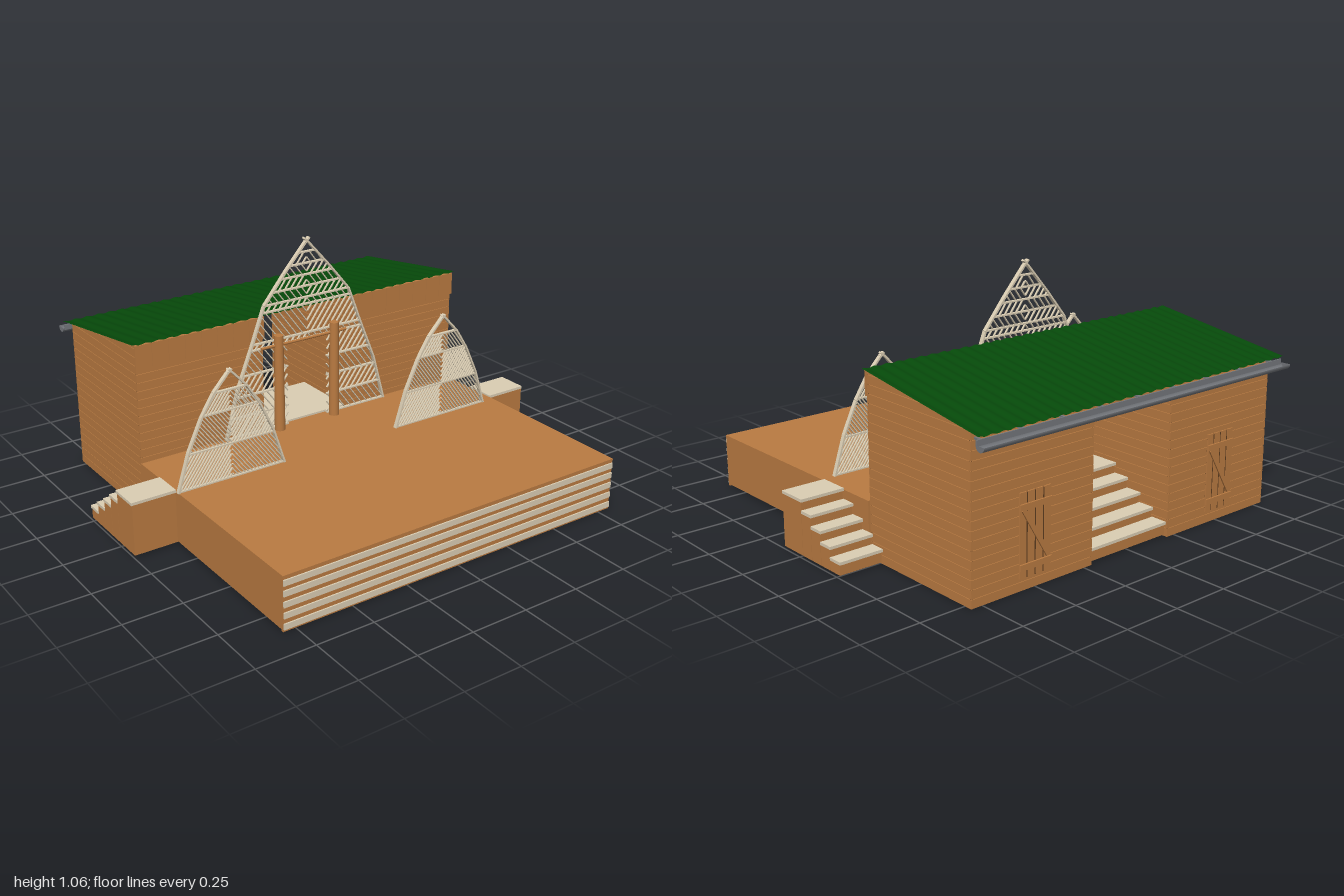
import * as THREE from 'three';
import { mergeGeometries } from 'three/addons/utils/BufferGeometryUtils.js';

const mat = (name, color, side = THREE.FrontSide) => {
  const m = new THREE.MeshStandardMaterial({ color, side });
  m.name = name;
  return m;
};

export function createModel() {
  const wood = mat('brown wood', 0xb97a41);
  const dark = mat('dark wood gaps', 0x5e3d20, THREE.DoubleSide);
  const pale = mat('pale weathered wood', 0xdacdb3);
  const green = mat('green roofing', 0x06490a, THREE.DoubleSide);
  const grey = mat('grey metal', 0x74777c, THREE.DoubleSide);
  const root = new THREE.Group();

  // Helpers
  const add = (name, geos, material, parent = root) => {
    const mesh = new THREE.Mesh(Array.isArray(geos) ? mergeGeometries(geos) : geos, material);
    mesh.name = name;
    parent.add(mesh);
    return mesh;
  };
  const group = (name, x = 0, y = 0, z = 0, ry = 0) => {
    const g = new THREE.Group();
    g.name = name;
    g.position.set(x, y, z);
    g.rotation.y = ry;
    root.add(g);
    return g;
  };
  // Box given by its limits on each axis
  const span = (x0, x1, y0, y1, z0, z1) =>
    new THREE.BoxGeometry(Math.abs(x1 - x0), Math.abs(y1 - y0), Math.abs(z1 - z0))
      .translate((x0 + x1) / 2, (y0 + y1) / 2, (z0 + z1) / 2);
  // Straight bar between two points of the xy plane
  const bar = (a, b, w, d) => {
    const dx = b[0] - a[0], dy = b[1] - a[1];
    return new THREE.BoxGeometry(Math.hypot(dx, dy), w, d)
      .rotateZ(Math.atan2(dy, dx))
      .translate((a[0] + b[0]) / 2, (a[1] + b[1]) / 2, 0);
  };

  // Stage: close-set deck planks with battens below, skirts and pale front slats
  const planks = [], battens = [], count = 52, pw = 1.61 / count;
  for (let i = 0; i < count; i++) {
    const x = -0.805 + i * pw;
    planks.push(span(x, x + pw, 0.225, 0.238, -0.185, 0.875));
    if (i) battens.push(span(x - 0.006, x + 0.006, 0.219, 0.2255, -0.185, 0.862));
  }
  add('stageDeckPlanks', planks, wood);
  add('stageDeckBattens', battens, wood);
  add('stageSkirts', [
    span(-0.805, -0.793, 0.015, 0.225, -0.185, 0.868),
    span(0.793, 0.805, 0.015, 0.225, -0.185, 0.868),
    span(-0.805, 0.805, 0.008, 0.225, 0.862, 0.872),
  ], wood);
  add('stageFrontSlats', [0.03, 0.075, 0.12, 0.165, 0.208].map((y) =>
    span(-0.803, 0.803, y - 0.012, y + 0.012, 0.87, 0.878)), pale);

  // Plank wall along local +x, its top falling from hA to hB
  const plankWall = (name, x, z, ry, L, hA, hB) => {
    const g = group(name, x, 0, z, ry), boards = [], step = 0.0365;
    const uAt = (y) => (y <= hB ? L : (L * (hA - y)) / (hA - hB));
    for (let y = 0.005; y < hA - 0.004; y += step) {
      const y1 = Math.min(y + step - 0.002, hA - 0.0005);
      const pts = [[0, y], [uAt(y), y]];
      if (hA > hB && y < hB && hB < y1) pts.push([L, hB]);
      pts.push([uAt(y1), y1], [0, y1]);
      const s = new THREE.Shape(pts.map((p) => new THREE.Vector2(...p)));
      boards.push(new THREE.ExtrudeGeometry(s, { depth: 0.012, bevelEnabled: false }).translate(0, 0, -0.006));
    }
    add(name + 'Boards', boards, wood, g);
    const back = [[0, 0.005], [L, 0.005], [L, hB], [0, hA]].map((p) => new THREE.Vector2(...p));
    add(name + 'Gaps', new THREE.ShapeGeometry(new THREE.Shape(back)), dark, g);
  };

  // Two huts with a passage between them
  const front = -0.19, rear = -0.785, hi = 0.747, lo = 0.656;
  for (const [side, x0, x1] of [['right', -0.8, -0.21], ['left', 0.21, 0.8]]) {
    plankWall(side + 'HutFront', x0, front - 0.006, 0, x1 - x0, hi, hi);
    plankWall(side + 'HutBack', x0, rear + 0.006, 0, x1 - x0, lo, lo);
    for (const [n, x] of [['A', x0 + 0.006], ['B', x1 - 0.006]])
      plankWall(side + 'HutSide' + n, x, front, Math.PI / 2, front - rear, hi, lo);

    // Upright boards under the front eave
    const eave = [];
    for (let i = 0; i < 8; i++) {
      const w = (x1 - x0 + 0.01) / 8, x = x0 - 0.005 + i * w;
      eave.push(span(x + 0.001, x + w - 0.001, 0.645 + (i % 3) * 0.006, 0.75, -0.19, -0.182));
    }
    add(side + 'EaveBoards', eave, wood);

    // Braced plank door on the back wall
    const door = group(side + 'BackDoor', (x0 + x1) / 2, 0, rear - 0.004);
    const parts = [bar([-0.06, 0.12], [0.06, 0.32], 0.02, 0.007).translate(0, 0, -0.007)];
    for (let i = 0; i < 4; i++)
      parts.push(span(-0.075 + i * 0.0395, -0.0435 + i * 0.0395, 0.05 + (i % 2) * 0.006, 0.385, -0.004, 0.002));
    for (const y of [0.1, 0.33]) parts.push(span(-0.077, 0.077, y - 0.012, y + 0.012, -0.011, -0.004));
    add(side + 'DoorPlanks', parts, wood, door);
    add(side + 'DoorGaps', span(-0.074, 0.074, 0.055, 0.38, -0.001, 0.003), dark, door);
  }

  // Corrugated lean-to roof
  const roof = new THREE.PlaneGeometry(1.63, 0.665, 240, 1).rotateX(-Math.PI / 2);
  const rp = roof.attributes.position;
  for (let i = 0; i < rp.count; i++) {
    const x = rp.getX(i), z = rp.getZ(i) - 0.5125;
    rp.setXYZ(i, x, 0.755 + 0.1515 * (z + 0.18) + 0.0025 * Math.cos((x * 2 * Math.PI) / 0.054), z);
  }
  roof.computeVertexNormals();
  add('corrugatedRoof', roof, green);

  // Half-round gutter open to the sky, with end caps, rail and brackets
  const gutter = [new THREE.CylinderGeometry(0.022, 0.022, 1.64, 14, 1, true, -Math.PI / 2, Math.PI)
    .rotateZ(Math.PI / 2).rotateX(Math.PI / 2)];
  for (const s of [-1, 1])
    gutter.push(new THREE.CircleGeometry(0.022, 14, Math.PI, Math.PI).rotateY((s * Math.PI) / 2).translate(s * 0.82, 0, 0));
  add('gutter', mergeGeometries(gutter).translate(0, 0.627, -0.858), grey);
  const fixings = [span(-0.815, 0.815, 0.62, 0.643, -0.837, -0.831)];
  for (let i = 0; i < 9; i++) {
    const x = -0.78 + i * 0.195;
    fixings.push(span(x - 0.005, x + 0.005, 0.628, 0.636, -0.833, -0.785));
  }
  add('gutterFixings', fixings, grey);

  // Hollow stairs going down towards -z from a landing
  const stairs = (name, x, z, width, landing, run) => {
    const g = group(name, x, 0, z), w = width / 2, treads = [];
    const body = [span(-w + 0.003, w - 0.003, 0.015, 0.233, -0.008, 0)];
    const heights = [0.245, 0.2, 0.155, 0.112, 0.07];
    let zc = 0;
    heights.forEach((y, i) => {
      const d = i ? run : landing, foot = heights[i + 1] ? heights[i + 1] - 0.012 : 0.015;
      for (const s of [-1, 1]) body.push(span(s * (w - 0.011), s * (w - 0.003), 0.015, y - 0.012, zc - d + 0.002, zc));
      body.push(span(-w + 0.003, w - 0.003, foot, y - 0.012, zc - d + 0.002, zc - d + 0.01));
      treads.push(span(-w, w, y - 0.012, y, zc - d - 0.004, zc));
      zc -= d;
    });
    add(name + 'Body', body, wood, g);
    add(name + 'Treads', treads, pale, g);
  };
  stairs('leftStairs', 0.902, 0.11, 0.195, 0.13, 0.062);
  stairs('rightStairs', -0.902, 0.11, 0.195, 0.13, 0.062);
  stairs('passageStairs', 0, -0.188, 0.41, 0.31, 0.07);

  // Pointed lattice screen: curved frame, rails and chevron slats
  const lattice = (name, x, z, outline, rails, pitch, slat, doorW, doorTop) => {
    const g = group(name, x, 0, z), geos = [];
    const half = (y) => {
      for (let i = 1; i < outline.length; i++) {
        const [y0, w0] = outline[i - 1], [y1, w1] = outline[i];
        if (y <= y1) return w0 + ((w1 - w0) * (y - y0)) / (y1 - y0);
      }
      return 0;
    };
    const inside = (px, py) => px >= (py < doorTop - 0.001 ? doorW : 0) && px <= half(py);
    for (const s of [-1, 1]) {
      for (let i = 1; i < outline.length; i++)
        geos.push(bar([s * outline[i - 1][1], outline[i - 1][0]], [s * outline[i][1], outline[i][0]], 0.008, 0.018));
      rails.forEach((y, r) => {
        geos.push(bar([s * (y < doorTop - 0.001 ? doorW : 0), y], [s * half(y), y], 0.006, 0.014));
        const top = rails[r + 1];
        if (top === undefined) return;
        // slats lean inwards or outwards on alternate rows, trimmed to the frame
        const h = top - y, lean = (r % 2 ? 1 : -1) * h * 0.75;
        for (let sx = -0.1; sx < half(y) + 0.15; sx += pitch) {
          let a = null, b = null;
          for (let k = 0; k <= 24; k++) {
            const p = [sx + (lean * k) / 24, y + (h * k) / 24];
            if (inside(...p)) { a = a || p; b = p; }
          }
          if (a && b[1] - a[1] > 0.008) geos.push(bar([s * a[0], a[1]], [s * b[0], b[1]], slat, 0.008));
        }
      });
    }
    add(name + 'Bars', geos, pale, g);
  };
  const small = [[0.237, 0.245], [0.4, 0.193], [0.53, 0.132], [0.62, 0.075], [0.69, 0.01], [0.705, -0.008]];
  const tall = [[0.237, 0.41], [0.45, 0.352], [0.64, 0.275], [0.8, 0.214], [0.92, 0.115], [1.04, 0.008], [1.06, -0.013]];
  const smallRails = [0.242, 0.39, 0.535, 0.62];
  lattice('rightScreen', -0.56, 0.128, small, smallRails, 0.016, 0.0045, 0, 0);
  lattice('leftScreen', 0.5, 0.128, small, smallRails, 0.016, 0.0045, 0, 0);
  lattice('centralScreen', 0, -0.171, tall,
    [0.242, 0.33, 0.42, 0.51, 0.615, 0.64, 0.77, 0.8, 0.85, 0.9, 0.95, 1.0], 0.03, 0.004, 0.1, 0.615);

  // Entrance columns and the beam tied across them
  for (const [n, x] of [['right', -0.16], ['left', 0.122]])
    add(n + 'Column', new THREE.CylinderGeometry(0.02, 0.023, 0.435, 20).translate(x, 0.4525, -0.143), wood);
  add('columnBeam', new THREE.CylinderGeometry(0.006, 0.006, 0.43, 10)
    .rotateZ(Math.PI / 2).translate(-0.03, 0.625, -0.145), wood);

  return root;
}
